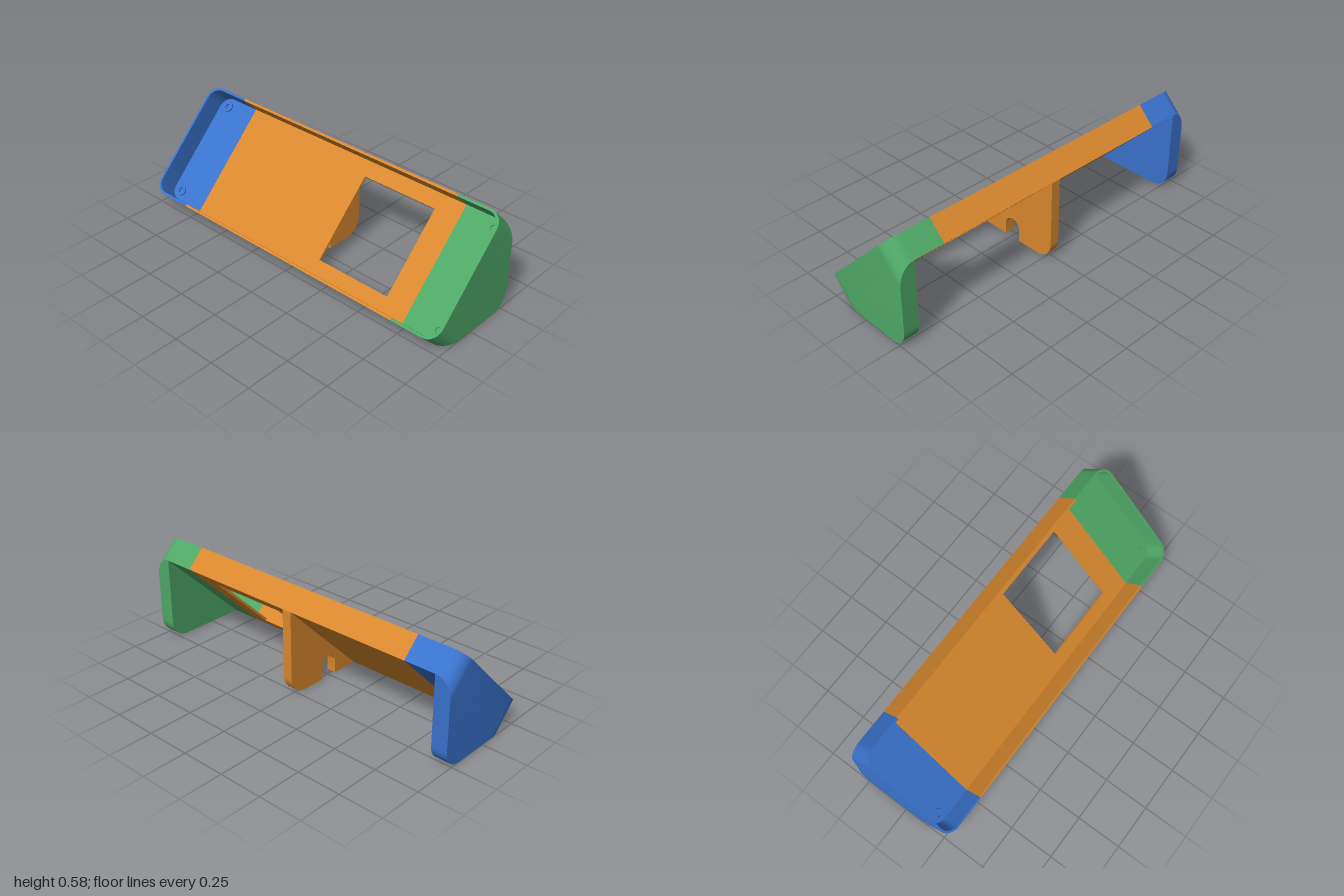
import * as THREE from 'three';
import { toCreasedNormals } from 'three/addons/utils/BufferGeometryUtils.js';

const H = 0.343;      // half length of the tray along the slope
const T = 0.138;      // tray depth
const W = 0.013;      // wall and floor thickness
const R = 0.08;       // tray corner radius
const SEAM = 0.735;   // where the end pieces meet the middle
const FOOT = 0.91;    // inner face of the feet
const C = Math.SQRT1_2;
const YC = H * C, ZC = -0.05;          // centre of the tray underside
const ZF = ZC + H * C, ZB = ZC - H * C, YB = 2 * H * C;

const paint = (color) => new THREE.MeshStandardMaterial({ color });

function add(parent, name, geometry, material, crease = 0.5) {
  const mesh = new THREE.Mesh(toCreasedNormals(geometry, crease), material);
  mesh.name = name;
  parent.add(mesh);
  return mesh;
}

const extrude = (shape, depth) =>
  new THREE.ExtrudeGeometry(shape, { depth, bevelEnabled: false, curveSegments: 12 });

// Points of a U-shaped end outline, from the seam around the two corners and back
function endOutline(s, inset) {
  const r = R - inset, cx = 1 - R, cy = H - R, pts = [[SEAM, -H + inset]];
  for (const [sign, from] of [[-1, -Math.PI / 2], [1, 0]]) {
    for (let i = 0; i <= 12; i++) {
      const a = from + (i / 12) * Math.PI / 2;
      pts.push([cx + r * Math.cos(a), sign * cy + r * Math.sin(a)]);
    }
  }
  pts.push([SEAM, H - inset]);
  return pts.map(([x, y]) => new THREE.Vector2(s * x, y));
}

// Foot: triangular side profile lofted outwards, following the tray's rounded corners
function footGeometry(s) {
  const sections = [[FOOT, 0]];
  for (let i = 0; i <= 12; i++) {
    const a = (i / 12) * Math.PI / 2;
    sections.push([1 - R + R * Math.sin(a), R - R * Math.cos(a)]);
  }
  const pos = [], idx = [];
  let n = 0;
  for (const [x, d] of sections) {
    const ring = [[ZF - d * C, d * C], [ZF - 2 * d * C, 0]];
    for (let i = 0; i <= 12; i++) {
      const a = (i / 12) * Math.PI / 2;
      ring.push([ZB + 0.1 - 0.1 * Math.sin(a), 0.1 - 0.1 * Math.cos(a)]);
    }
    ring.push([ZB, YB - 2 * d * C], [ZB + d * C, YB - d * C]);
    n = ring.length;
    for (const [z, y] of ring) pos.push(s * x, y, z);
  }
  const tri = (a, b, c) => (s > 0 ? idx.push(a, b, c) : idx.push(a, c, b));
  const last = (sections.length - 1) * n;
  for (let k = 0; k < last; k += n) {
    for (let j = 0; j < n; j++) {
      const m = (j + 1) % n;
      tri(k + j, k + m, k + n + m);
      tri(k + j, k + n + m, k + n + j);
    }
  }
  for (let j = 1; j < n - 1; j++) {
    tri(last, last + j, last + j + 1);
    tri(0, j + 1, j);
  }
  const g = new THREE.BufferGeometry();
  g.setAttribute('position', new THREE.Float32BufferAttribute(pos, 3));
  g.setIndex(idx);
  return g;
}

// One end: floor, wall, screw rings and foot
function buildEnd(tray, model, s, side, material) {
  const outer = endOutline(s, 0), inner = endOutline(s, W);
  add(tray, side + 'EndFloor', extrude(new THREE.Shape(outer), W), material);
  add(tray, side + 'EndWall', extrude(new THREE.Shape([...outer, ...inner.reverse()]), T), material);
  for (const v of [-0.277, 0.277]) {
    const ring = new THREE.Shape().absarc(0, 0, 0.028, 0, Math.PI * 2);
    ring.holes.push(new THREE.Path().absarc(0, 0, 0.017, 0, Math.PI * 2, true));
    add(tray, side + 'ScrewRing', extrude(ring, 0.008), material).position.set(s * 0.925, v, W);
  }
  add(model, side + 'Foot', footGeometry(s), material);
}

function rectangle(P, x0, y0, x1, y1) {
  return new P([[x0, y0], [x1, y0], [x1, y1], [x0, y1]].map((p) => new THREE.Vector2(...p)));
}

export function createModel() {
  const model = new THREE.Group();
  model.name = 'slopedPanelStand';
  const orange = paint(0xd9882e), green = paint(0x4fa866), blue = paint(0x3a72cc);

  // Tray tilted by 45 degrees: local y runs up the slope, local z out of the tray
  const tray = new THREE.Group();
  tray.name = 'tray';
  tray.rotation.x = -Math.PI / 4;
  tray.position.set(0, YC, ZC);
  model.add(tray);

  // Middle floor with the display window
  const floor = rectangle(THREE.Shape, -SEAM, -H, SEAM, H);
  floor.holes.push(rectangle(THREE.Path, 0.135, -0.25, 0.59, 0.245));
  add(tray, 'middleFloor', extrude(floor, W), orange);

  // Front and back walls
  for (const [name, s] of [['frontWall', -1], ['backWall', 1]]) {
    add(tray, name, new THREE.BoxGeometry(2 * SEAM, W, T), orange)
      .position.set(0, s * (H - W / 2), T / 2);
  }

  buildEnd(tray, model, 1, 'left', green);
  buildEnd(tray, model, -1, 'right', blue);

  // Middle rib with a rounded cable notch, drawn in z and y
  const rib = new THREE.Shape();
  rib.moveTo(ZF, 0);
  rib.lineTo(0.04, 0);
  rib.lineTo(0.04, 0.07);
  rib.absarc(-0.01, 0.07, 0.05, 0, Math.PI, false);
  rib.lineTo(-0.06, 0);
  rib.lineTo(ZB + 0.1, 0);
  rib.absarc(ZB + 0.1, 0.1, 0.1, -Math.PI / 2, -Math.PI, true);
  rib.lineTo(ZB, YB);
  const ribMesh = add(model, 'middleRib', extrude(rib, 0.055), orange);
  ribMesh.rotation.y = -Math.PI / 2;
  ribMesh.position.x = 0.035;

  return model;
}
